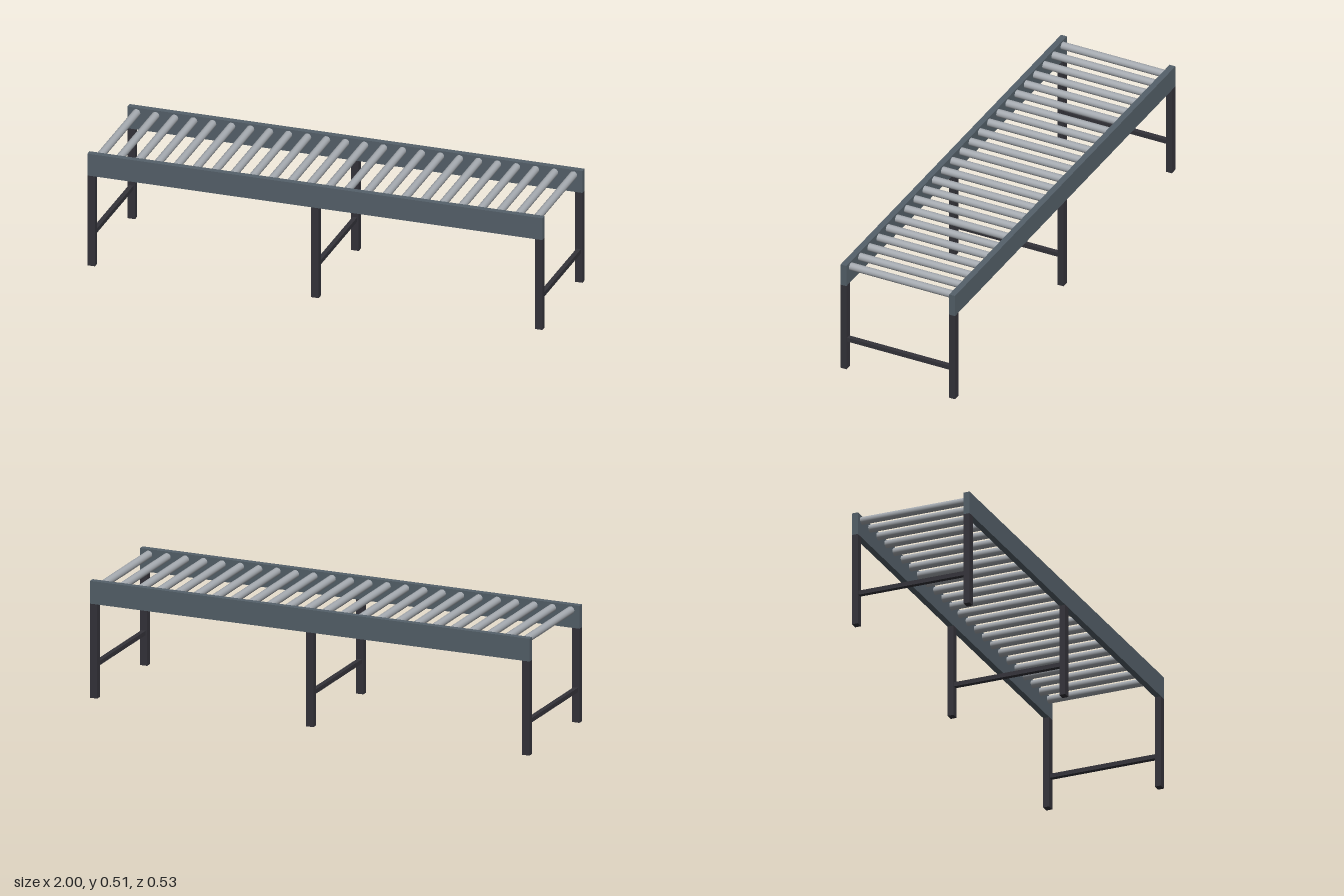
import * as THREE from 'three';

export function createModel() {
  const material = (name, color) => {
    const m = new THREE.MeshStandardMaterial({ color });
    m.name = name;
    return m;
  };
  const railPaint = material('slate rail paint', 0x55616a);
  const legPaint = material('dark leg paint', 0x34333a);
  const steel = material('roller steel', 0xa6abb1);

  const model = new THREE.Group();
  model.name = 'rollerConveyor';

  const add = (name, geometry, mat, x, y, z, parent = model) => {
    const mesh = new THREE.Mesh(geometry, mat);
    mesh.name = name;
    mesh.position.set(x, y, z);
    parent.add(mesh);
    return mesh;
  };

  const railZ = 0.2535, thickness = 0.027, innerWidth = 0.48;
  const legHeight = 0.409, legWidth = 0.033;

  // Side rails
  const railGeo = new THREE.BoxGeometry(2, 0.099, thickness);
  add('frontRail', railGeo, railPaint, 0, 0.4585, railZ);
  add('backRail', railGeo, railPaint, 0, 0.4585, -railZ);

  // Rollers spanning the rails
  const rollers = new THREE.Group();
  rollers.name = 'rollers';
  model.add(rollers);
  const rollerGeo = new THREE.CylinderGeometry(0.0167, 0.0167, innerWidth, 20).rotateX(Math.PI / 2);
  const count = 24, pitch = 0.0835;
  for (let i = 0; i < count; i++) {
    add('roller', rollerGeo, steel, (i - (count - 1) / 2) * pitch, 0.485, 0, rollers);
  }

  // Three leg frames, each two legs and a cross brace
  const legGeo = new THREE.BoxGeometry(legWidth, legHeight, thickness);
  const braceGeo = new THREE.BoxGeometry(0.02, 0.019, innerWidth);
  for (const side of [-1, 0, 1]) {
    const frame = new THREE.Group();
    frame.name = 'legFrame';
    frame.position.x = side * (1 - legWidth / 2);
    model.add(frame);
    add('frontLeg', legGeo, legPaint, 0, legHeight / 2, railZ, frame);
    add('backLeg', legGeo, legPaint, 0, legHeight / 2, -railZ, frame);
    add('crossBrace', braceGeo, legPaint, 0, 0.1425, 0, frame);
  }

  return model;
}
